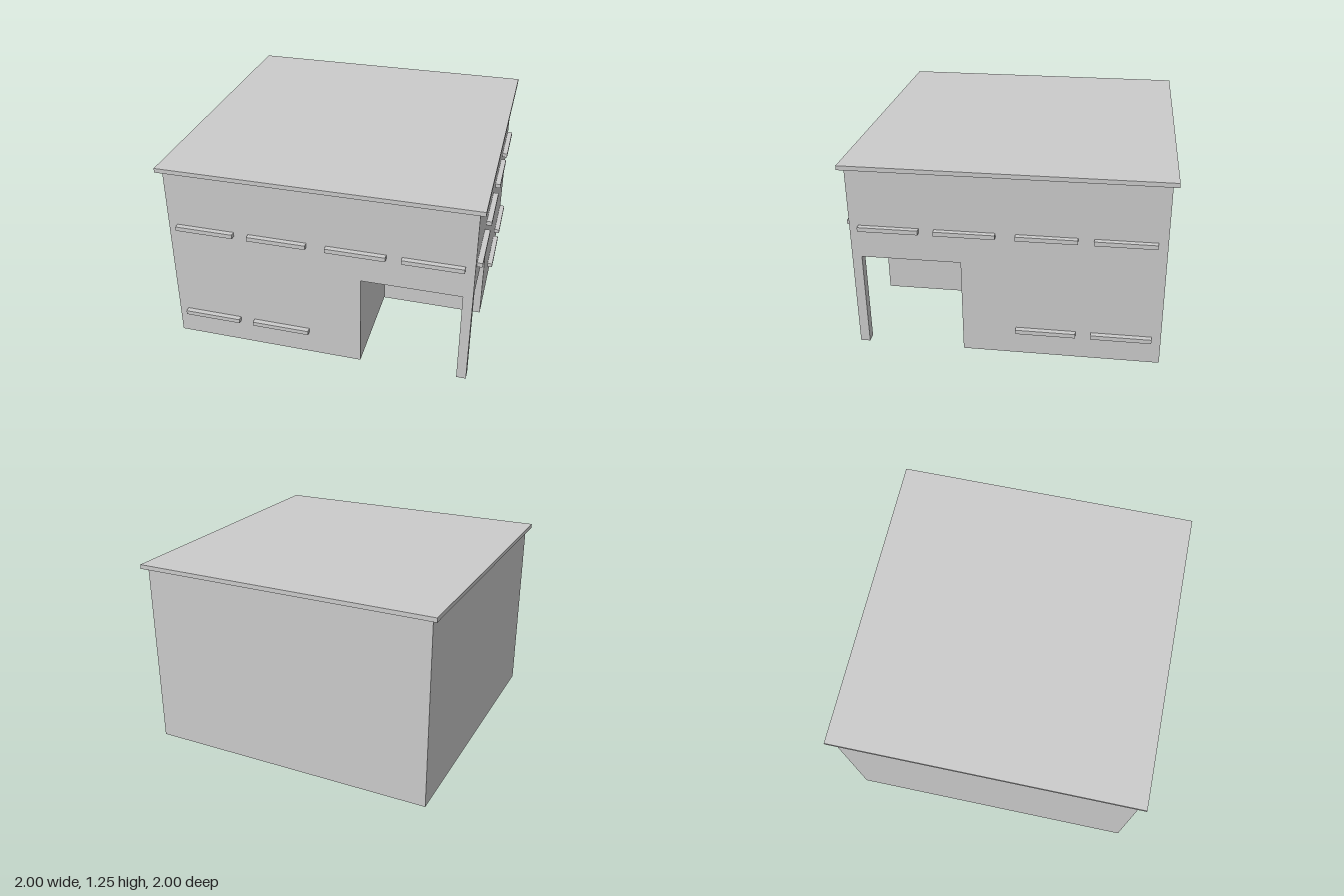
import * as THREE from 'three';

const W = 0.966;        // half width of the walls
const N = 0.28;         // where the corner porch begins
const PORCH_H = 0.63;   // porch ceiling height
const EAVE = 1.222;     // underside of the roof

export function createModel() {
  const group = new THREE.Group();
  const material = new THREE.MeshStandardMaterial({ color: 0xcccccc, flatShading: true });

  const add = (name, geometry) => {
    const mesh = new THREE.Mesh(geometry, material);
    mesh.name = name;
    group.add(mesh);
    return mesh;
  };
  // Box given by its minimum and maximum corners
  const box = (name, [x0, y0, z0], [x1, y1, z1]) => {
    const mesh = add(name, new THREE.BoxGeometry(x1 - x0, y1 - y0, z1 - z0));
    mesh.position.set((x0 + x1) / 2, (y0 + y1) / 2, (z0 + z1) / 2);
    return mesh;
  };

  // Ground floor: L-shaped plan, leaving the front left corner open as a porch
  const plan = new THREE.Shape(
    [[-W, -W], [N, -W], [N, -N], [W, -N], [W, W], [-W, W]].map(([x, y]) => new THREE.Vector2(x, y))
  );
  const ground = new THREE.ExtrudeGeometry(plan, { depth: PORCH_H, bevelEnabled: false });
  ground.rotateX(-Math.PI / 2);
  add('groundFloor', ground);

  // Upper floor over the full square, carried by a post at the porch corner
  box('upperFloor', [-W, PORCH_H, -W], [W, EAVE, W]);
  box('cornerPost', [0.905, 0, 0.905], [W, PORCH_H, W]);

  // Flat roof slab with a small overhang
  box('roof', [-1, EAVE, -1], [1, 1.25, 1]);

  // Window sills on the front and the left wall, mirrored about the porch corner
  const sillRows = [
    { y: 0.834, centres: [-0.72, -0.249, 0.249, 0.72] },
    { y: 0.174, centres: [-0.72, -0.249] },
  ];
  const half = 0.188, thick = 0.014;
  for (const { y, centres } of sillRows) {
    for (const c of centres) {
      box('frontSill', [c - half, y - thick, W], [c + half, y + thick, 1]);
      box('sideSill', [W, y - thick, c - half], [1, y + thick, c + half]);
    }
  }

  return group;
}
